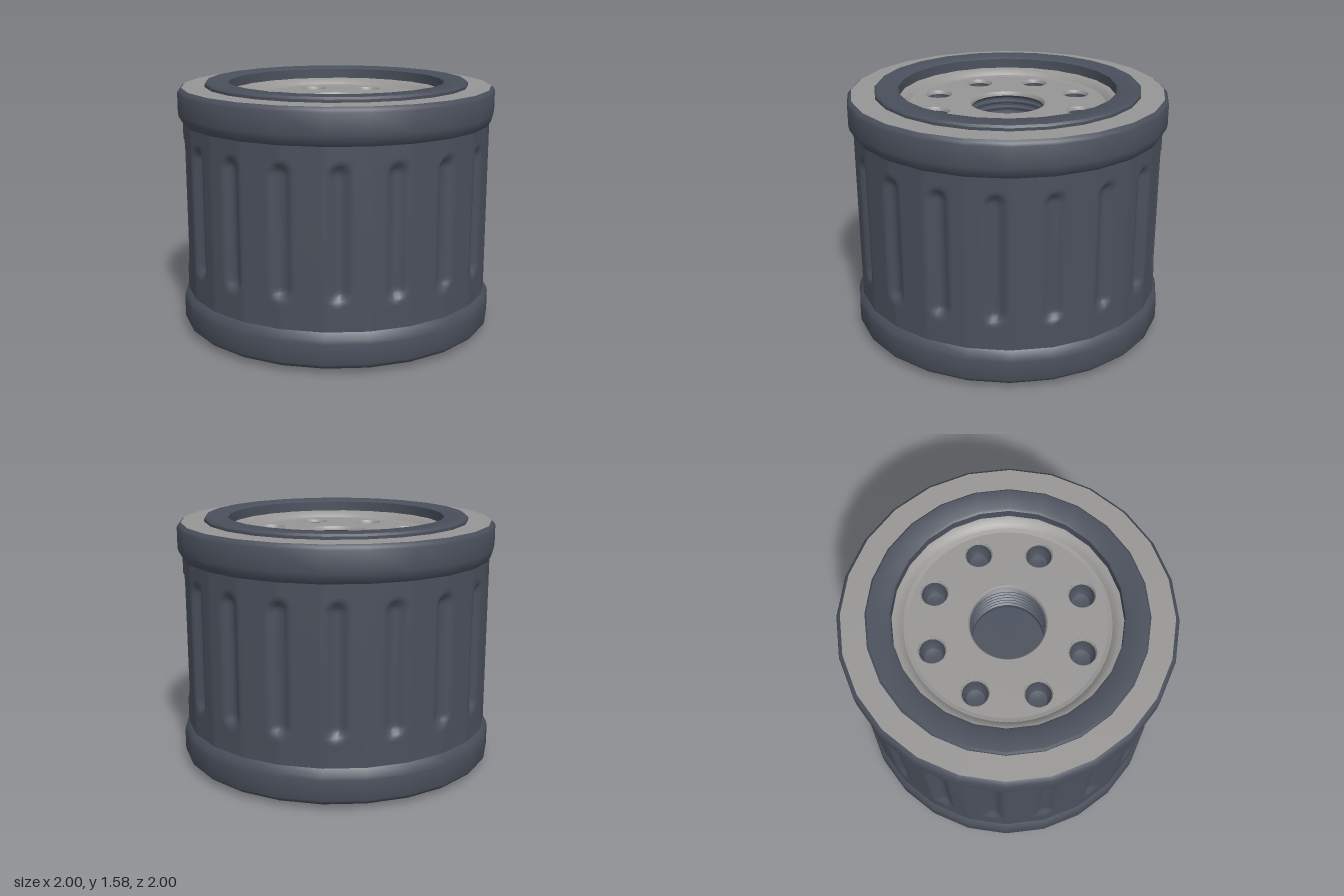
import * as THREE from 'three';
import { mergeVertices, toCreasedNormals } from 'three/addons/utils/BufferGeometryUtils.js';

const HEIGHT = 1.575;
const SIDES = 24;
const FLUTES = 18;

const paint = new THREE.MeshStandardMaterial({ color: 0x4a505c });
paint.name = 'dark slate';
const steel = new THREE.MeshStandardMaterial({ color: 0x979695 });
steel.name = 'grey metal';

function mesh(name, geometry, material) {
  const m = new THREE.Mesh(geometry, material);
  m.name = name;
  return m;
}

// Revolved profile; smooth around the axis, crisp across sharp profile corners
function turned(name, points, material, sides = SIDES) {
  const profile = points.map(([r, y]) => new THREE.Vector2(r, y));
  const geometry = new THREE.LatheGeometry(profile, sides);
  return mesh(name, toCreasedNormals(geometry, 0.6), material);
}

// Can wall: faceted cylinder with round-ended vertical grooves pressed in
function flutedWall() {
  const y0 = 0.22, y1 = HEIGHT - 0.22;
  const geometry = new THREE.CylinderGeometry(1, 1, y1 - y0, 288, 54, true);
  geometry.translate(0, (y0 + y1) / 2, 0);
  geometry.deleteAttribute('uv');
  geometry.deleteAttribute('normal');
  const p = geometry.attributes.position;
  const facet = (2 * Math.PI) / SIDES;
  const step = (2 * Math.PI) / FLUTES;
  for (let i = 0; i < p.count; i++) {
    const a = Math.atan2(p.getX(i), p.getZ(i)), y = p.getY(i);
    const local = a - (Math.floor(a / facet) + 0.5) * facet;
    let r = 0.972 * Math.cos(facet / 2) / Math.cos(local);
    const across = (a - Math.round(a / step) * step) * r;
    const along = y - THREE.MathUtils.clamp(y, 0.48, 1.16);
    const d = Math.hypot(across, along);
    r -= 0.036 * (1 - THREE.MathUtils.smoothstep(d, 0.015, 0.072));
    p.setXYZ(i, r * Math.sin(a), y, r * Math.cos(a));
  }
  const wall = mergeVertices(geometry, 1e-4);
  wall.computeVertexNormals();
  return mesh('flutedWall', wall, paint);
}

// One end of the can: rolled rim, gasket, perforated plate and threaded bore
function canEnd(name) {
  const end = new THREE.Group();
  end.name = name;
  const plateY = 1.46;
  const holeR = 0.084, boreR = 0.235;

  end.add(turned('rolledRim', [
    [0.955, 1.31], [0.972, 1.325], [0.995, 1.365], [1, 1.39],
    [1, 1.515], [0.993, 1.53], [0.975, 1.545],
  ], paint));
  end.add(turned('rimFace', [[0.975, 1.545], [0.81, 1.545]], steel));
  end.add(turned('gasket', [
    [0.83, 1.53], [0.83, 1.562], [0.818, HEIGHT],
    [0.695, HEIGHT], [0.68, 1.565], [0.68, 1.48],
  ], paint));
  end.add(turned('plateShoulder', [
    [0.69, 1.505], [0.655, 1.5], [0.632, 1.485], [0.615, 1.466], [0.59, plateY],
  ], steel, 48));

  // Plate with a central bore and a ring of eight holes
  const shape = new THREE.Shape().absarc(0, 0, 0.592, 0, Math.PI * 2, false);
  const cut = (x, y, r) =>
    shape.holes.push(new THREE.Path().absarc(x, y, r, 0, Math.PI * 2, true));
  cut(0, 0, boreR);
  for (let i = 0; i < 8; i++) {
    const a = ((i + 0.5) * Math.PI) / 4;
    const x = 0.475 * Math.cos(a), z = 0.475 * Math.sin(a);
    cut(x, z, holeR);
    const lip = turned('holeLip', [[holeR, 0], [0.08, -0.006], [0.076, -0.022]], steel, 24);
    const pocket = turned('holePocket', [
      [0.076, -0.022], [0.074, -0.09], [0.055, -0.12], [0, -0.13],
    ], paint, 24);
    for (const part of [lip, pocket]) {
      part.position.set(x, plateY, z);
      end.add(part);
    }
  }
  const plate = new THREE.ShapeGeometry(shape, 24);
  plate.rotateX(-Math.PI / 2);
  plate.translate(0, plateY, 0);
  end.add(mesh('perforatedPlate', plate, steel));

  // Threaded bore with a closed floor
  end.add(turned('boreLip', [
    [boreR, plateY], [0.228, plateY - 0.008], [0.225, plateY - 0.025],
  ], steel, 48));
  const thread = [[0.225, plateY - 0.025]];
  for (let i = 0; i < 6; i++) {
    const y = plateY - 0.04 - i * 0.04;
    thread.push([0.24, y], [0.24, y - 0.012], [0.222, y - 0.022], [0.222, y - 0.03]);
  }
  thread.push([0.222, plateY - 0.3], [0, plateY - 0.3]);
  end.add(turned('threadedBore', thread, paint, 48));
  return end;
}

export function createModel() {
  const model = new THREE.Group();
  model.name = 'canister';
  model.add(flutedWall(), canEnd('topEnd'));

  // The bottom end is the top end turned over
  const bottom = canEnd('bottomEnd');
  bottom.rotation.x = Math.PI;
  bottom.position.y = HEIGHT;
  model.add(bottom);
  return model;
}
